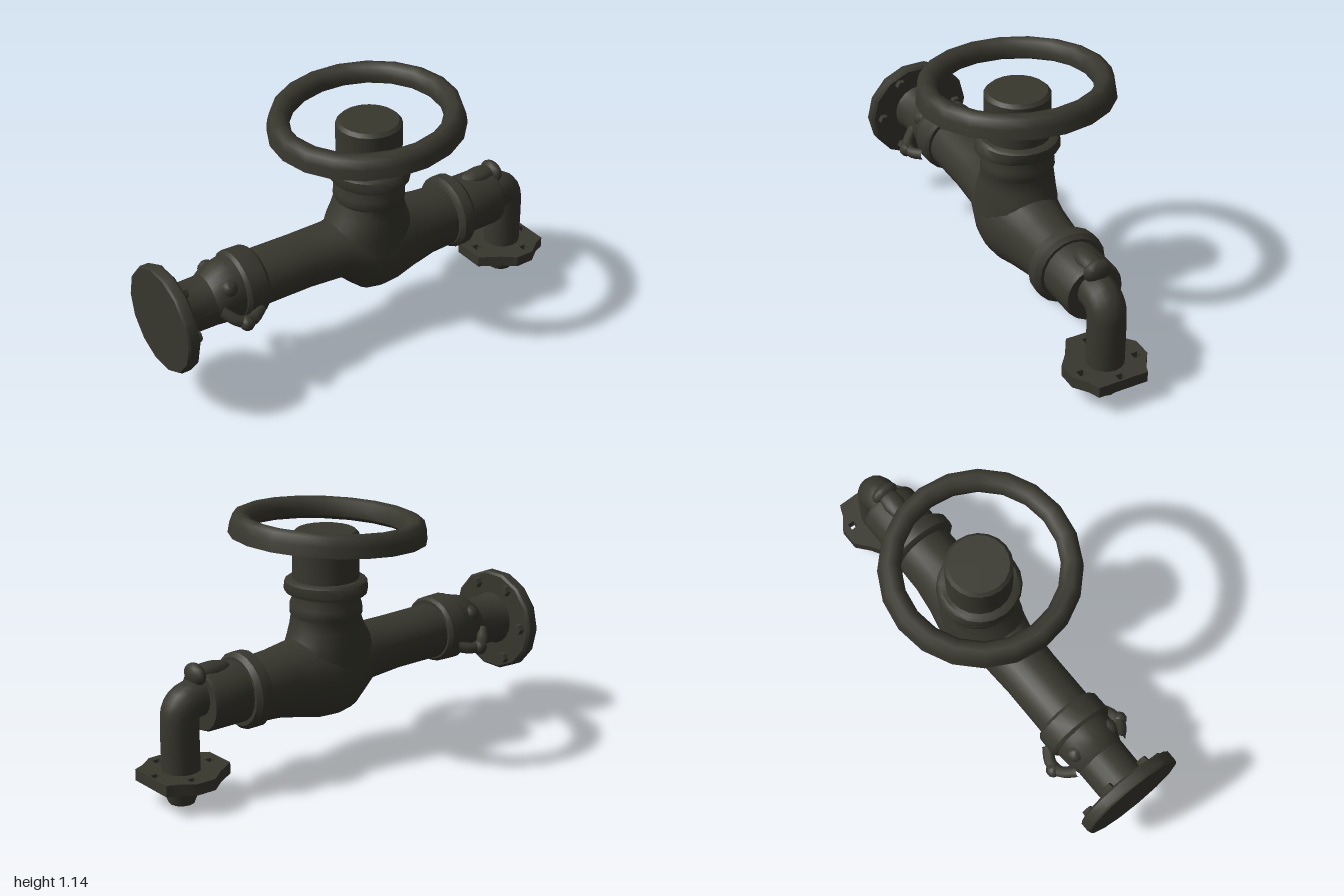
import * as THREE from 'three';
import { toCreasedNormals } from 'three/addons/utils/BufferGeometryUtils.js';

const iron = new THREE.MeshStandardMaterial({ color: 0x38372e });
iron.name = 'dark iron';

export function createModel() {
  const model = new THREE.Group();
  model.name = 'valve';

  const add = (name, geometry, crease = 0.65) => {
    const mesh = new THREE.Mesh(toCreasedNormals(geometry, crease), iron);
    mesh.name = name;
    model.add(mesh);
    return mesh;
  };

  // Closed loft of elliptical rings [position, centre, radius, z radius] along x or y
  const loft = (name, axis, rows, sides = 20) => {
    const ends = [rows[0], rows[rows.length - 1]].map(([p, c]) => [p, c, 0, 0]);
    const rings = [ends[0], ...rows, ends[1]];
    const geo = new THREE.LatheGeometry(rings.map((_, i) => new THREE.Vector2(1, i)), sides);
    const pos = geo.attributes.position;
    for (let i = 0; i < pos.count; i++) {
      const [p, c, r, rz = r] = rings[Math.round(pos.getY(i))];
      const x = pos.getX(i) * r, z = pos.getZ(i) * rz;
      if (axis === 'x') pos.setXYZ(i, p, c - x, z);
      else pos.setXYZ(i, c + x, p, z);
    }
    return add(name, geo);
  };

  // Main pipe with the swollen valve chamber
  loft('valveBody', 'x', [
    [-0.60, 0.465, 0.125, 0.13], [-0.30, 0.462, 0.122, 0.13], [-0.12, 0.455, 0.128, 0.138],
    [-0.06, 0.435, 0.165, 0.155], [0.00, 0.415, 0.195, 0.173], [0.07, 0.41, 0.202, 0.182],
    [0.14, 0.41, 0.198, 0.177], [0.24, 0.41, 0.175, 0.155], [0.36, 0.413, 0.153, 0.14],
    [0.50, 0.411, 0.142, 0.138]], 24);

  // Bonnet rising from the chamber, and the stem
  loft('bonnet', 'y', [
    [0.40, 0.06, 0.205, 0.18], [0.53, 0.06, 0.21, 0.172], [0.575, 0.06, 0.19, 0.168],
    [0.62, 0.065, 0.165, 0.165], [0.67, 0.07, 0.15, 0.158], [0.685, 0.07, 0.157, 0.164],
    [0.72, 0.07, 0.155, 0.162], [0.745, 0.07, 0.146, 0.152], [0.79, 0.07, 0.15, 0.155]], 24);
  loft('stemCollar', 'y', [[0.775, 0.07, 0.172, 0.19], [0.79, 0.07, 0.18, 0.19],
    [0.825, 0.07, 0.18, 0.178], [0.835, 0.07, 0.165]]);
  loft('stem', 'y', [[0.82, 0.07, 0.145], [1.03, 0.07, 0.145], [1.045, 0.07, 0.13]]);

  // Tilted hand wheel
  const rim = [[0.43, -0.045], [0.424, 0], [0.412, 0.038], [0.385, 0.05], [0.35, 0.04],
    [0.33, 0.005], [0.335, -0.03], [0.37, -0.05], [0.43, -0.045]];
  const wheel = add('handWheel', new THREE.LatheGeometry(
    rim.map(([r, y]) => new THREE.Vector2(r, y)), 20), 0.9);
  wheel.position.set(0.055, 1.062, 0);
  wheel.rotation.z = 0.064;

  // Left end: flange, neck, coupling
  loft('inletFlange', 'x', [[-1, 0.435, 0.23, 0.24], [-0.99, 0.435, 0.235, 0.248],
    [-0.95, 0.435, 0.235, 0.248], [-0.94, 0.435, 0.225, 0.235]], 14);
  loft('inletNeck', 'x', [[-0.95, 0.445, 0.125], [-0.91, 0.445, 0.113],
    [-0.76, 0.445, 0.115], [-0.70, 0.45, 0.125], [-0.6, 0.46, 0.125]]);
  loft('inletCoupling', 'x', [[-0.78, 0.45, 0.112], [-0.735, 0.465, 0.13],
    [-0.68, 0.468, 0.14, 0.135], [-0.63, 0.47, 0.143, 0.14]]);
  loft('couplingRing', 'x', [[-0.65, 0.47, 0.14, 0.145], [-0.635, 0.47, 0.153, 0.158],
    [-0.55, 0.47, 0.15, 0.156], [-0.535, 0.47, 0.138, 0.142]]);
  for (let i = 0; i < 6; i++) {
    const a = (i + 0.5) * Math.PI / 3;
    const bolt = add('flangeBolt', new THREE.CylinderGeometry(0.024, 0.028, 0.04, 6));
    bolt.rotation.z = -Math.PI / 2;
    bolt.position.set(-0.935, 0.435 + 0.19 * Math.cos(a), 0.19 * Math.sin(a));
  }

  // Locking arms and pivots on both sides of the coupling
  for (const s of [-1, 1]) {
    const path = new THREE.CatmullRomCurve3([[-0.59, 0.41, 0.14], [-0.65, 0.40, 0.175],
      [-0.71, 0.41, 0.17], [-0.765, 0.45, 0.115]].map(([x, y, z]) => new THREE.Vector3(x, y, z * s)));
    add('lockingArm', new THREE.TubeGeometry(path, 10, 0.026, 8), 1);
    const pivot = add('lockingPivot', new THREE.SphereGeometry(0.033, 10, 8), 1);
    pivot.position.set(-0.685, 0.40, s * 0.187);
    const lug = add('couplingLug', new THREE.SphereGeometry(0.04, 10, 8), 1);
    lug.position.set(-0.71, 0.53, s * 0.09);
  }

  // Right end: ring, socket and bead
  loft('outletRing', 'x', [[0.475, 0.42, 0.15, 0.15], [0.49, 0.422, 0.168, 0.17],
    [0.54, 0.422, 0.168, 0.17], [0.56, 0.422, 0.15, 0.15]]);
  loft('outletSocket', 'x', [[0.54, 0.425, 0.135], [0.73, 0.425, 0.135], [0.75, 0.425, 0.128]]);
  const bead = add('socketBead', new THREE.SphereGeometry(1, 12, 8), 1);
  bead.scale.set(0.035, 0.05, 0.065);
  bead.position.set(0.765, 0.545, 0);
  const strap = add('socketStrap', new THREE.SphereGeometry(1, 12, 8), 1);
  strap.scale.set(0.1, 0.035, 0.05);
  strap.position.set(0.69, 0.55, 0);

  // Elbow bending down to the outlet
  const bend = new THREE.CatmullRomCurve3([[0.7, 0.445], [0.77, 0.445], [0.815, 0.435],
    [0.842, 0.405], [0.848, 0.35], [0.848, 0.12]].map(([x, y]) => new THREE.Vector3(x, y, 0)));
  add('elbow', new THREE.TubeGeometry(bend, 24, 0.083, 16), 1);

  // Outlet plate with four bolt holes
  const outline = [[1, 0.115], [0.95, 0.135], [0.89, 0.18], [0.80, 0.18], [0.74, 0.13],
    [0.65, 0.075]];
  const corners = [...outline, ...outline.map(([x, z]) => [x, -z]).reverse()];
  const plate = new THREE.Shape(corners.map(([x, z]) => new THREE.Vector2(x, z)));
  for (const [x, z] of [[0.88, 0.13], [0.88, -0.13], [0.975, 0], [0.70, 0]]) {
    plate.holes.push(new THREE.Path([[-1, -1], [1, -1], [1, 1], [-1, 1]].map(
      ([u, v]) => new THREE.Vector2(x + u * 0.016, z + v * 0.016))));
  }
  const plateGeo = new THREE.ExtrudeGeometry(plate, { depth: 0.05, bevelEnabled: false });
  plateGeo.rotateX(-Math.PI / 2);
  add('outletPlate', plateGeo).position.y = 0.098;
  loft('nozzle', 'y', [[0, 0.848, 0.056], [0.015, 0.848, 0.062], [0.11, 0.848, 0.077]], 12);

  return model;
}
